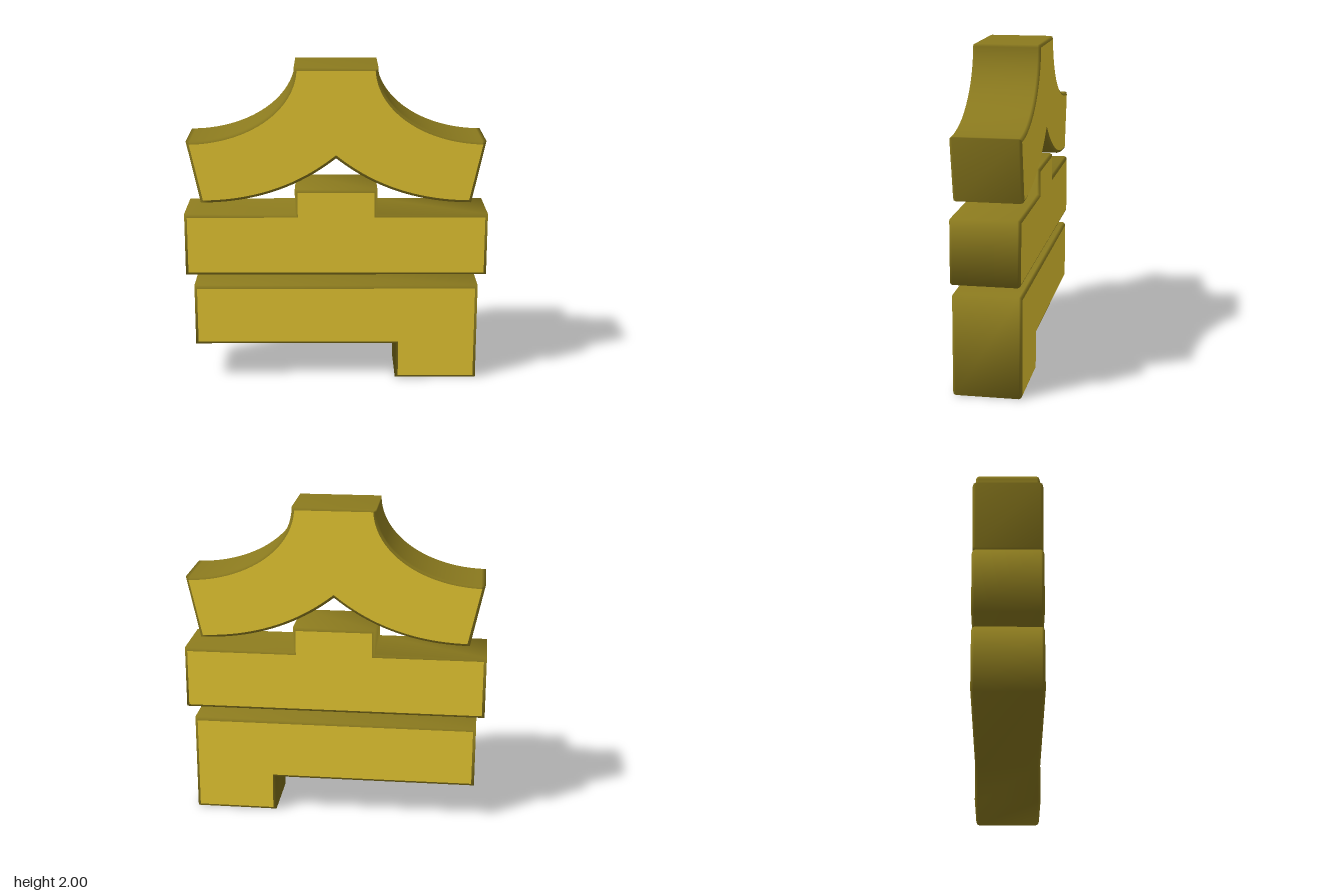
import * as THREE from 'three';
import { mergeVertices } from 'three/addons/utils/BufferGeometryUtils.js';

const DEPTH = 0.416, BEVEL = 0.018;

const gold = new THREE.MeshStandardMaterial({ color: 0xe6c832 });
gold.name = 'gold face';
const darkGold = new THREE.MeshStandardMaterial({ color: 0x8b7a1e });
darkGold.name = 'dark gold edge';

// Copies one material group of a non-indexed geometry
function takeGroup(geometry, index) {
  const { start, count } = geometry.groups[index];
  const positions = geometry.attributes.position.array.slice(start * 3, (start + count) * 3);
  const part = new THREE.BufferGeometry();
  part.setAttribute('position', new THREE.BufferAttribute(positions, 3));
  return part;
}

// A slab with flat gold faces and a smoothly shaded, bevelled dark rim
function slab(name, shape) {
  const solid = new THREE.ExtrudeGeometry(shape, {
    depth: DEPTH - 2 * BEVEL, curveSegments: 20,
    bevelSize: BEVEL, bevelThickness: BEVEL, bevelOffset: -BEVEL, bevelSegments: 2,
  });
  solid.translate(0, 0, -DEPTH / 2 + BEVEL);

  const faces = takeGroup(solid, 0);
  faces.computeVertexNormals();
  const rim = mergeVertices(takeGroup(solid, 1), 1e-4);
  rim.computeVertexNormals();

  const group = new THREE.Group();
  group.name = name;
  const faceMesh = new THREE.Mesh(faces, gold);
  faceMesh.name = name + 'Faces';
  const rimMesh = new THREE.Mesh(rim, darkGold);
  rimMesh.name = name + 'Rim';
  group.add(faceMesh, rimMesh);
  return group;
}

const polygon = (points) => new THREE.Shape(points.map(([x, y]) => new THREE.Vector2(x, y)));

// Flared top with concave shoulders and a pointed arch beneath
function roofShape() {
  const s = new THREE.Shape();
  s.moveTo(0, 1.44);
  s.quadraticCurveTo(0.35, 1.16, 0.835, 1.16);
  s.lineTo(0.918, 1.547);
  s.absellipse(0.918, 2, 0.663, 0.453, Math.PI * 1.5, Math.PI, true);
  s.lineTo(-0.255, 2);
  s.absellipse(-0.918, 2, 0.663, 0.453, 0, Math.PI * 1.5, true);
  s.lineTo(-0.835, 1.16);
  s.quadraticCurveTo(-0.35, 1.16, 0, 1.44);
  return s;
}

export function createModel() {
  const model = new THREE.Group();
  model.name = 'stackedEmblem';

  model.add(slab('roof', roofShape()));

  // Wide bar with a central tab
  model.add(slab('middleBar', polygon([
    [-0.942, 0.692], [0.942, 0.692], [0.942, 1.085], [0.255, 1.085],
    [0.255, 1.242], [-0.255, 1.242], [-0.255, 1.085], [-0.942, 1.085],
  ])));

  // Lower bar with a foot on its left
  model.add(slab('lowerBar', polygon([
    [0.377, 0], [0.892, 0], [0.892, 0.62], [-0.892, 0.62], [-0.892, 0.23], [0.377, 0.23],
  ])));

  return model;
}
